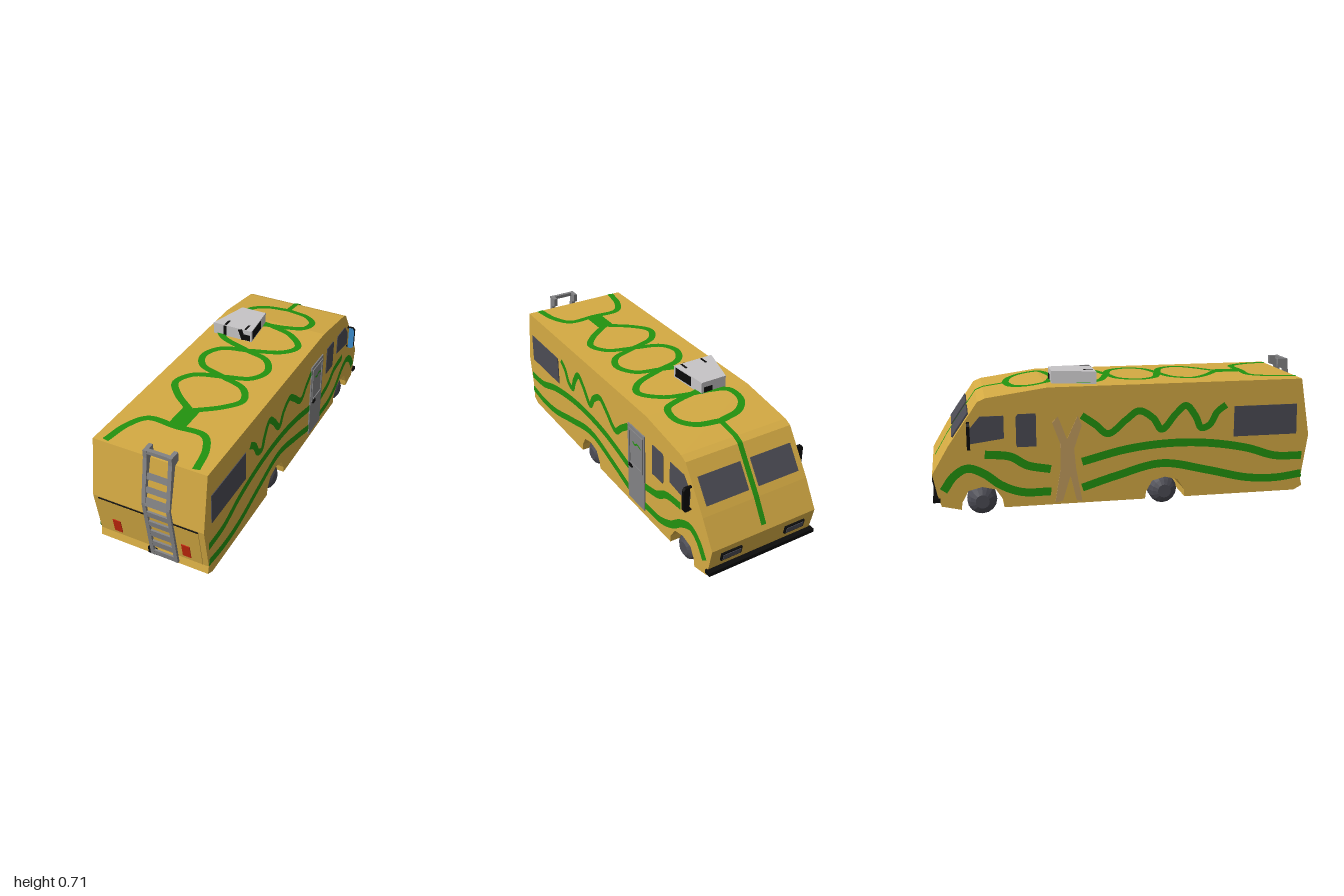
import * as THREE from 'three';

const mat = (name, color, side = THREE.FrontSide) => {
  const m = new THREE.MeshStandardMaterial({ color, side });
  m.name = name;
  return m;
};

export function createModel() {
  const yellow = mat('yellowPaint', 0xd4aa43);
  const green = mat('greenPaint', 0x22920f, THREE.DoubleSide);
  const grey = mat('metalGrey', 0x828284);
  const pale = mat('paleGrey', 0xc6c4c6);
  const dark = mat('glassAndRubber', 0x4b4b54);
  const black = mat('black', 0x0b0b0b);
  const red = mat('lampRed', 0xc4280c);
  const blue = mat('mirrorBlue', 0x3b8ccd);
  const tan = mat('wornTan', 0xc29c5e);

  const model = new THREE.Group();
  model.name = 'motorhome';
  const add = (name, geo, material) => {
    const m = new THREE.Mesh(geo, material);
    m.name = name;
    model.add(m);
    return m;
  };
  const box = (name, material, w, h, d, x, y, z) => {
    const m = add(name, new THREE.BoxGeometry(w, h, d), material);
    m.position.set(x, y, z);
    return m;
  };
  // Extrude a [z, y] outline across x, from x0 to x0 + width
  const across = (name, material, pts, x0, width) => {
    const shape = new THREE.Shape(pts.map(([z, y]) => new THREE.Vector2(-z, y)));
    const g = new THREE.ExtrudeGeometry(shape, { depth: width, bevelEnabled: false });
    return add(name, g.rotateY(Math.PI / 2).translate(x0, 0, 0), material);
  };
  // Thin plate lying on the sloped face between profile points a and b
  const plate = (name, material, a, b, x, y, w, h, t = 0.016) => {
    const z = a[0] + ((b[0] - a[0]) * (y - a[1])) / (b[1] - a[1]);
    const m = box(name, material, w, h, t, x, y, z);
    m.rotation.x = Math.atan2(a[0] - b[0], a[1] - b[1]) * Math.sign(a[1] - b[1]);
    if (z < 0) m.rotation.x = Math.atan2(a[0] - b[0], a[1] - b[1]);
    return m;
  };
  // Painted band of constant width along a smooth 2D path, placed on a surface by map()
  const ribbon = (name, pts, width, map, steps = pts.length * 8) => {
    const curve = new THREE.CatmullRomCurve3(pts.map(([u, v]) => new THREE.Vector3(u, v, 0)));
    const pos = [], index = [];
    for (let i = 0; i <= steps; i++) {
      const p = curve.getPoint(i / steps), t = curve.getTangent(i / steps);
      for (const s of [-0.5, 0.5]) pos.push(...map(p.x - t.y * s * width, p.y + t.x * s * width));
      if (i < steps) {
        const k = i * 2;
        index.push(k, k + 1, k + 2, k + 1, k + 3, k + 2);
      }
    }
    const g = new THREE.BufferGeometry();
    g.setAttribute('position', new THREE.Float32BufferAttribute(pos, 3));
    g.setIndex(index);
    g.computeVertexNormals();
    return add(name, g, green);
  };

  // Body: side profile from the nose over the roof to the tail, with wheel arches below
  const top = [[-0.997, 0.23], [-0.915, 0.37], [-0.765, 0.588], [-0.727, 0.605], [-0.42, 0.648], [0.92, 0.648]];
  const tail = [[0.97, 0.345], [0.935, 0.105], [0.945, 0.065], [0.9, 0.042]];
  const nose = [[-0.855, 0.042], [-0.957, 0.065], [-0.975, 0.125]];
  const arch = (c) => [[0.107, 0.042], [0.105, 0.08], [0.068, 0.138], [0, 0.155], [-0.068, 0.138], [-0.1, 0.08],
    [-0.105, 0.042]].map(([z, y]) => [z + c, y]);
  const rearAxle = 0.185, frontAxle = -0.755;
  across('body', yellow, [...top, ...tail, ...arch(rearAxle), ...arch(frontAxle), ...nose.slice(1)], -0.3, 0.6);

  // Wheels
  const tyre = [[0, -0.07], [0.035, -0.07], [0.06, -0.055], [0.075, -0.025], [0.075, 0.025], [0.06, 0.055],
    [0.035, 0.07], [0, 0.07]].map(([r, y]) => new THREE.Vector2(r, y));
  for (const s of [1, -1]) for (const z of [rearAxle, frontAxle]) {
    const g = new THREE.LatheGeometry(tyre, 16).rotateZ(Math.PI / 2).toNonIndexed();
    g.computeVertexNormals();
    add('wheel', g, dark).position.set(s * 0.225, 0.075, z);
  }

  // Painted side waves, windows and mirrors on both sides
  const waves = [
    [0.036, [[0.507, 0.525], [0.46, 0.49], [0.42, 0.424], [0.375, 0.41], [0.345, 0.47], [0.292, 0.53], [0.24, 0.49],
      [0.165, 0.41], [0.12, 0.47], [0.045, 0.512], [-0.02, 0.47], [-0.115, 0.4], [-0.18, 0.45], [-0.25, 0.5]]],
    [0.042, [[0.935, 0.234], [0.785, 0.24], [0.625, 0.29], [0.41, 0.327], [0.195, 0.335], [-0.02, 0.314], [-0.25, 0.26]]],
    [0.042, [[-0.41, 0.23], [-0.53, 0.257], [-0.61, 0.305], [-0.737, 0.322]]],
    [0.042, [[0.937, 0.134], [0.785, 0.118], [0.625, 0.129], [0.41, 0.182], [0.165, 0.23], [-0.07, 0.177], [-0.25, 0.123]]],
    [0.042, [[-0.41, 0.113], [-0.555, 0.118], [-0.66, 0.16], [-0.745, 0.225], [-0.825, 0.255], [-0.89, 0.22], [-0.945, 0.145]]],
  ];
  const windows = {
    rearSideWindow: [[0.9, 0.354], [0.553, 0.354], [0.553, 0.515], [0.897, 0.515]],
    middleSideWindow: [[-0.48, 0.352], [-0.575, 0.352], [-0.58, 0.365], [-0.58, 0.505], [-0.57, 0.52], [-0.48, 0.52]],
    cabWindow: [[-0.64, 0.4], [-0.81, 0.378], [-0.81, 0.452], [-0.757, 0.515], [-0.64, 0.515]],
  };
  for (const s of [1, -1]) {
    for (const [width, pts] of waves) ribbon('sideWave', pts, width, (z, y) => [s * 0.304, y, z]);
    for (const name in windows) across(name, dark, windows[name], s > 0 ? 0.298 : -0.304, 0.006);

    const outline = [[0.312, 0.355], [0.335, 0.355], [0.345, 0.368], [0.345, 0.476], [0.335, 0.49], [0.312, 0.49]];
    const shape = new THREE.Shape(outline.map(([x, y]) => new THREE.Vector2(s * x, y)));
    add('mirrorHousing', new THREE.ExtrudeGeometry(shape, { depth: 0.016, bevelEnabled: false }), black)
      .position.z = -0.823;
    add('mirrorGlass', new THREE.ShapeGeometry(shape), blue).position.z = -0.805;
    for (const y of [0.36, 0.486]) box('mirrorArm', black, 0.03, 0.008, 0.014, s * 0.31, y, -0.815);
  }

  // Entry door with frame, handle and small painted squiggle; worn patch opposite
  box('door', grey, 0.012, 0.45, 0.16, 0.301, 0.3, -0.33);
  for (const z of [-0.267, -0.393]) box('doorFrame', grey, 0.006, 0.2, 0.012, 0.309, 0.4, z);
  for (const y of [0.3, 0.5]) box('doorFrame', grey, 0.006, 0.012, 0.138, 0.309, y, -0.33);
  box('doorHandle', black, 0.014, 0.02, 0.03, 0.31, 0.292, -0.285);
  ribbon('doorSquiggle', [[-0.3, 0.442], [-0.325, 0.432], [-0.345, 0.445], [-0.38, 0.434]], 0.01, (z, y) => [0.309, y, z]);
  across('wornPatch', tan, [[-0.25, 0.05], [-0.28, 0.06], [-0.31, 0.19], [-0.35, 0.06], [-0.39, 0.05], [-0.36, 0.23],
    [-0.36, 0.36], [-0.4, 0.47], [-0.37, 0.5], [-0.325, 0.38], [-0.27, 0.5], [-0.25, 0.45], [-0.29, 0.33],
    [-0.28, 0.22]], -0.304, 0.006);

  // Painted roof loops and the stripe running down the windscreen
  const roofY = (z) => {
    let i = 0;
    while (i < top.length - 2 && z > top[i + 1][0]) i++;
    const [a, b] = [top[i], top[i + 1]];
    return a[1] + ((b[1] - a[1]) * (z - a[0])) / (b[0] - a[0]);
  };
  const onRoof = (x, z) => [x, roofY(z) + 0.006, z];
  const loops = [
    [[0, -0.61], [0.127, -0.58], [0.19, -0.51], [0.18, -0.42], [0.085, -0.38], [0, -0.365]],
    [[0, -0.365], [0.14, -0.32], [0.228, -0.22], [0.18, -0.14], [0, -0.07]],
    [[0, -0.07], [0.13, -0.03], [0.183, 0.07], [0.14, 0.16], [0, 0.21]],
    [[0, 0.21], [0.14, 0.26], [0.188, 0.355], [0.13, 0.44], [0, 0.54]],
    [[0, 0.68], [0.15, 0.68], [0.21, 0.77], [0.237, 0.91]],
  ];
  for (const s of [1, -1]) for (const pts of loops) ribbon('roofLoop', pts.map(([x, z]) => [s * x, z]), 0.036, onRoof);
  ribbon('roofStem', [[0, 0.53], [0, 0.69]], 0.09, onRoof);
  ribbon('windscreenStripe', [[0, -0.985], [0, -0.61]], 0.028, onRoof, 140);

  // Roof air unit, wide end towards the tail, with dark stains
  const unit = new THREE.Shape([[-0.25, 0.165], [-0.02, 0.165], [-0.04, 0.386], [-0.185, 0.386]]
    .map((p) => new THREE.Vector2(...p)));
  add('airUnit', new THREE.ExtrudeGeometry(unit, { depth: 0.066, bevelEnabled: false }).rotateX(-Math.PI / 2), pale)
    .position.y = 0.646;
  box('airUnitStain', black, 0.018, 0.06, 0.004, -0.18, 0.679, -0.165);
  box('airUnitStain', black, 0.025, 0.064, 0.004, -0.078, 0.679, -0.165).rotation.z = 0.35;
  box('airUnitStain', black, 0.035, 0.034, 0.004, -0.047, 0.668, -0.165);
  box('airUnitStain', black, 0.004, 0.05, 0.125, -0.0265, 0.682, -0.24).rotation.y = 0.09;
  box('airUnitStain', black, 0.05, 0.03, 0.004, -0.08, 0.668, -0.386);
  for (const x of [-0.18, -0.06]) box('airUnitStain', black, 0.012, 0.004, 0.05, x, 0.711, -0.195);

  // Windscreen, headlights and bumper at the nose
  for (const s of [1, -1]) {
    plate('windscreen', dark, top[2], top[1], s * 0.147, 0.465, 0.235, 0.14);
    plate('headlightRim', black, top[0], nose[2], s * 0.185, 0.172, 0.115, 0.045, 0.02);
    plate('headlight', dark, top[0], nose[2], s * 0.185, 0.172, 0.1, 0.032, 0.026);
  }
  box('frontBumper', black, 0.62, 0.02, 0.035, 0, 0.098, -0.98);

  // Tail panel, lamps and plate
  plate('tailPanel', yellow, tail[0], tail[1], 0, 0.222, 0.54, 0.226, 0.008);
  plate('tailSeam', black, tail[0], tail[1], 0, 0.338, 0.54, 0.005, 0.01);
  for (const s of [1, -1]) plate('tailLamp', red, tail[0], tail[1], s * 0.19, 0.172, 0.044, 0.08);
  box('rearPlate', black, 0.047, 0.038, 0.01, -0.002, 0.085, 0.944);

  // Ladder: bent rails, hooked over the roof, with flat rungs
  const rail = [[0.942, 0.075], [0.988, 0.43], [0.93, 0.655], [0.9, 0.665], [0.9, 0.71], [0.957, 0.71], [0.957, 0.67],
    [1.0, 0.435], [0.957, 0.075]];
  for (const x of [-0.005, 0.124]) across('ladderRail', grey, rail, x, 0.02);
  const low = [0.95, 0.075], bend = [0.994, 0.432], high = [0.945, 0.66];
  for (const [y0, y1] of [[0.075, 0.107], [0.142, 0.178], [0.213, 0.253], [0.286, 0.318], [0.35, 0.383],
    [0.423, 0.465], [0.493, 0.52], [0.56, 0.59]]) {
    const y = (y0 + y1) / 2;
    plate('ladderRung', grey, y < 0.432 ? bend : high, y < 0.432 ? low : bend, 0.069, y, 0.125, y1 - y0, 0.01);
  }
  box('ladderTopRung', grey, 0.125, 0.018, 0.02, 0.069, 0.701, 0.945);

  return model;
}
